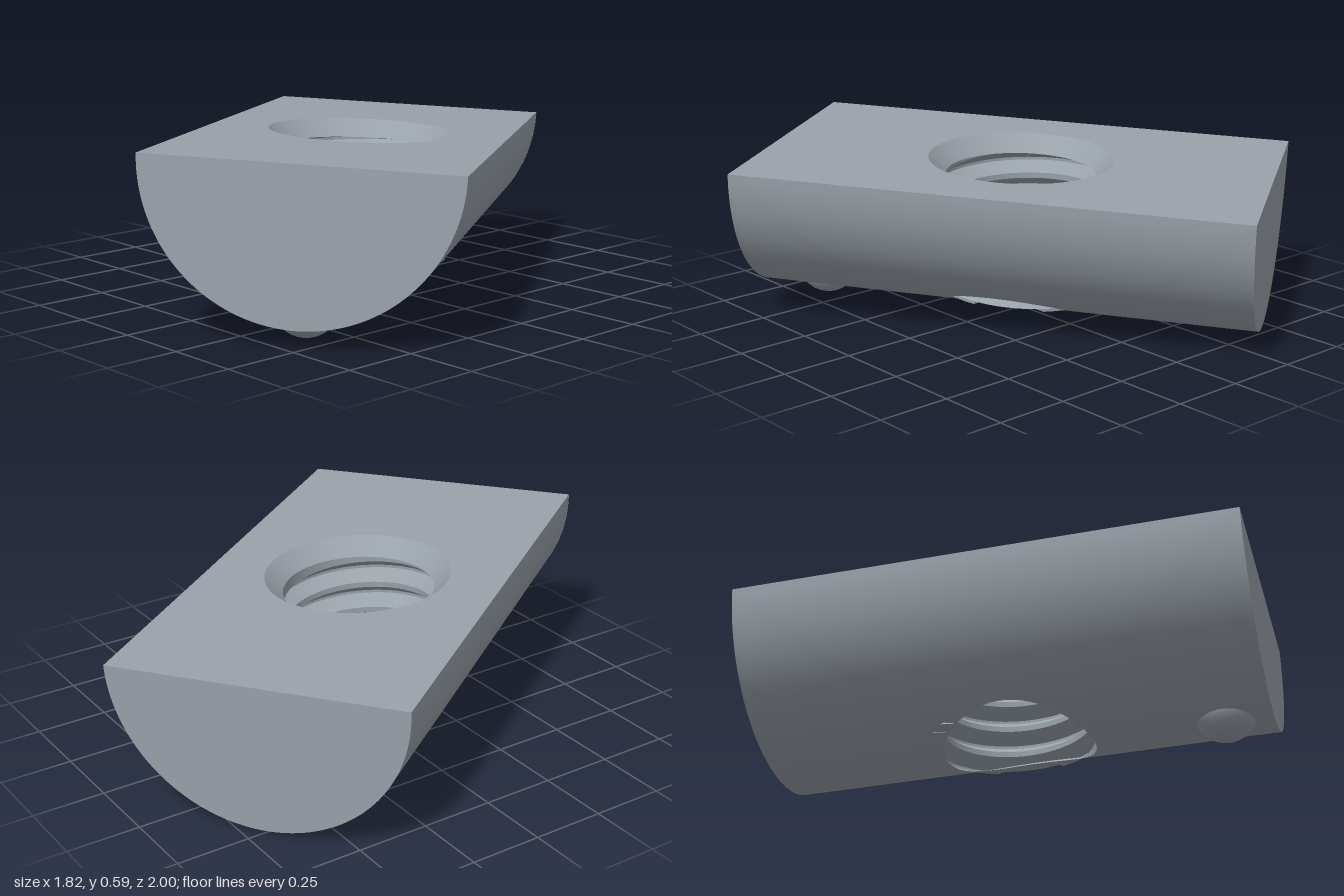
import * as THREE from 'three';
import { toCreasedNormals } from 'three/addons/utils/BufferGeometryUtils.js';

const R = 0.508, HALF = 0.867;          // half-round radius, half length
const CREST = 0.26, ROOT = 0.31, RIM = 0.32, PITCH = 0.1, CHAMFER = 0.06;

// Surface from rows of points; collapsed triangles are skipped.
function skin(rows, crease) {
  const out = [];
  const tri = (a, b, c) => {
    const area = b.clone().sub(a).cross(c.clone().sub(a)).length();
    if (area > 1e-8) for (const p of [a, b, c]) out.push(p.x, p.y, p.z);
  };
  for (let i = 0; i < rows.length - 1; i++) {
    for (let j = 0; j < rows[i].length - 1; j++) {
      const a = rows[i][j], b = rows[i][j + 1], c = rows[i + 1][j], d = rows[i + 1][j + 1];
      tri(a, b, c);
      tri(b, d, c);
    }
  }
  const g = new THREE.BufferGeometry();
  g.setAttribute('position', new THREE.Float32BufferAttribute(out, 3));
  return toCreasedNormals(g, crease);
}

// Half-round underside, gridded from the bore lip out to the outer edges.
function undersideGeometry() {
  const N = 28, STEPS = 24, edge = [];
  const a = Math.PI / 2;
  const corners = [[a, -HALF], [a, HALF], [-a, HALF], [-a, -HALF], [a, -HALF]];
  for (let s = 0; s < 4; s++) {
    for (let i = 0; i < N; i++) {
      const t = i / N, p = corners[s], q = corners[s + 1];
      edge.push([p[0] + (q[0] - p[0]) * t, p[1] + (q[1] - p[1]) * t]);
    }
  }
  edge.push(corners[0]);
  const rows = [];
  for (let k = 0; k <= STEPS; k++) {
    const t = k / STEPS;
    rows.push(edge.map(([phi, z]) => {
      const ang = Math.atan2(z, phi * R);
      const phi0 = Math.asin(CREST * Math.cos(ang) / R), z0 = CREST * Math.sin(ang);
      const f = phi0 + (phi - phi0) * t;
      return new THREE.Vector3(R * Math.sin(f), -R * Math.cos(f), z0 + (z - z0) * t);
    }));
  }
  return skin(rows, 0.5);
}

// Helical thread, trimmed by the chamfer above and the curved underside below.
function threadGeometry() {
  const SEG = 72, rows = [];
  const profile = [[0, CREST], [0.2, CREST], [0.55, ROOT], [0.65, ROOT]];
  const radiusAt = (u) => {
    const f = u - Math.floor(u);
    if (f < 0.2) return CREST;
    if (f < 0.55) return CREST + (ROOT - CREST) * (f - 0.2) / 0.35;
    if (f < 0.65) return ROOT;
    return ROOT + (CREST - ROOT) * (f - 0.65) / 0.35;
  };
  for (let turn = 1; turn >= -7; turn--) {
    for (const [f] of [...profile].reverse()) {
      const row = [];
      for (let j = 0; j <= SEG; j++) {
        const ang = j / SEG * Math.PI * 2;
        const low = -Math.sqrt(R * R - (CREST * Math.cos(ang)) ** 2);
        let y = (turn + f + j / SEG) * PITCH, r = radiusAt(f);
        if (y > -CHAMFER) { y = -CHAMFER; r = CREST; }
        if (y < low) { y = low; r = CREST; }
        row.push(new THREE.Vector3(r * Math.cos(ang), y, r * Math.sin(ang)));
      }
      rows.push(row);
    }
  }
  return skin(rows, 0.45);
}

export function createModel() {
  const steel = new THREE.MeshStandardMaterial({ color: 0x99a1a9, side: THREE.DoubleSide });
  steel.name = 'steel grey';
  const nut = new THREE.Group();
  nut.name = 'slotNut';
  const add = (name, geometry) => {
    const mesh = new THREE.Mesh(geometry, steel);
    mesh.name = name;
    nut.add(mesh);
    return mesh;
  };

  // Flat top with the bore opening
  const top = new THREE.Shape([[-R, -HALF], [R, -HALF], [R, HALF], [-R, HALF]]
    .map(([x, y]) => new THREE.Vector2(x, y)));
  top.holes.push(new THREE.Path().absarc(0, 0, RIM, 0, Math.PI * 2, true));
  add('topFace', new THREE.ShapeGeometry(top, 36).rotateX(-Math.PI / 2));

  // Half-round end faces
  const half = new THREE.Shape().absarc(0, 0, R, Math.PI, Math.PI * 2, false);
  add('frontEnd', new THREE.ShapeGeometry(half, 48)).position.z = HALF;
  const back = add('backEnd', new THREE.ShapeGeometry(half, 48));
  back.position.z = -HALF;
  back.rotation.y = Math.PI;

  add('underside', undersideGeometry());

  // Bore
  add('boreChamfer', new THREE.CylinderGeometry(RIM, CREST, CHAMFER, 72, 1, true))
    .position.y = -CHAMFER / 2;
  add('boreThread', threadGeometry());

  // Spring ball near the front end
  add('springBall', new THREE.SphereGeometry(0.11, 32, 20)).position.set(0, -0.455, 0.707);

  // The nut lies turned and slightly tilted
  const zAxis = new THREE.Vector3(0.98, 0.056, 1.43).normalize();
  const yAxis = zAxis.clone().cross(new THREE.Vector3(0.84, -0.034, -0.57)).normalize();
  const xAxis = yAxis.clone().cross(zAxis);
  nut.quaternion.setFromRotationMatrix(new THREE.Matrix4().makeBasis(xAxis, yAxis, zAxis));
  nut.position.y = 0.546;

  const model = new THREE.Group();
  model.name = 'model';
  model.add(nut);
  return model;
}
